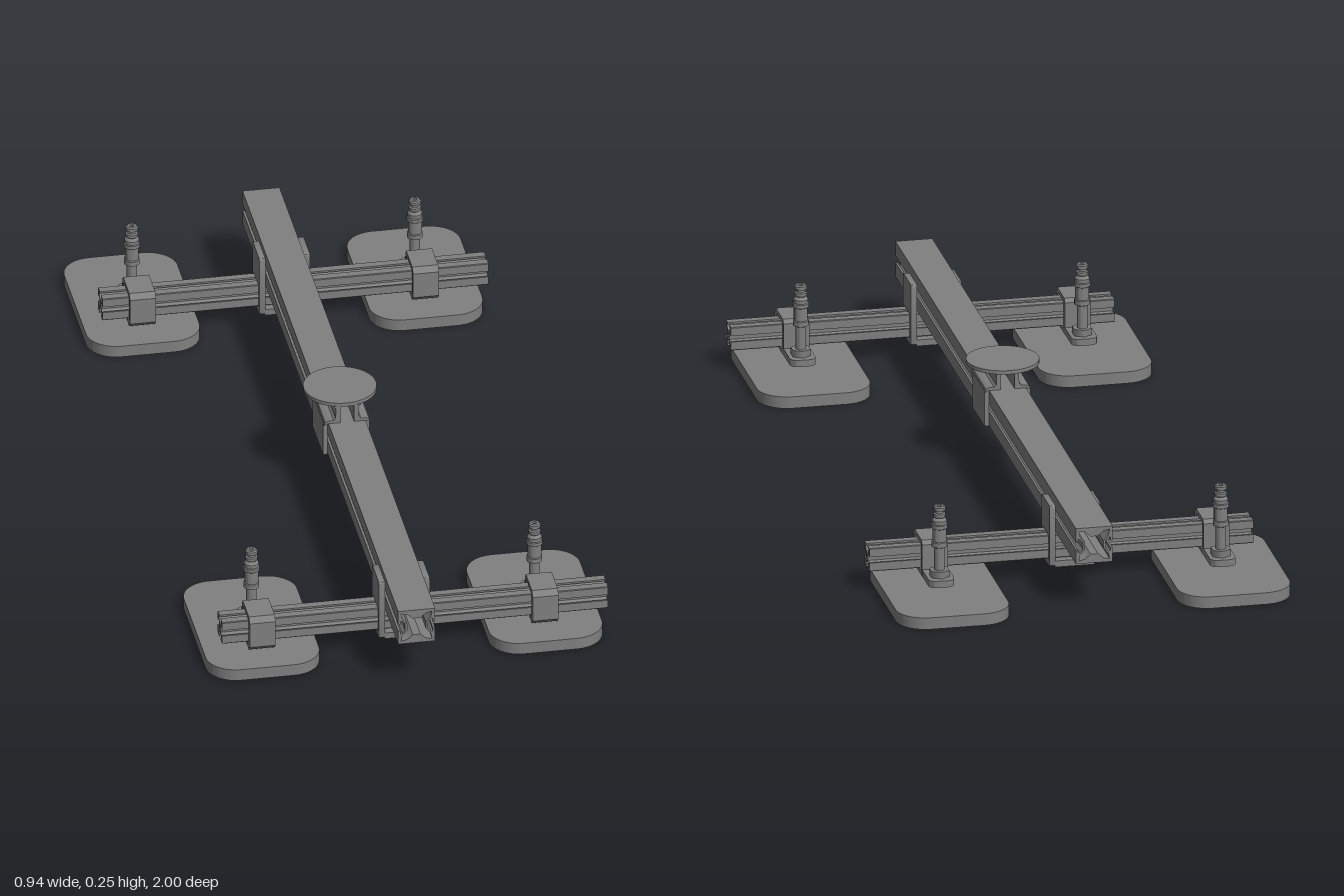
import * as THREE from 'three';
import { toCreasedNormals } from 'three/addons/utils/BufferGeometryUtils.js';

const grey = new THREE.MeshStandardMaterial({ color: 0x808080 });
const CX = -0.01; // centre line of the main beam
const BAR_Y = 0.078;
const STEM_OFFSET = 0.092; // from cross bar back to the valve stem

function add(parent, name, geometry, x = 0, y = 0, z = 0) {
  const mesh = new THREE.Mesh(geometry, grey);
  mesh.name = name;
  mesh.position.set(x, y, z);
  parent.add(mesh);
  return mesh;
}

const polygon = (pts) => new THREE.Shape(pts.map(([x, y]) => new THREE.Vector2(x, y)));

// Repeats points over four quarter turns, scaled by h
function fourfold(pts, h) {
  const out = [];
  for (let k = 0; k < 4; k++) {
    for (let [x, y] of pts) {
      for (let i = 0; i < k; i++) [x, y] = [-y, x];
      out.push([x * h, y * h]);
    }
  }
  return out;
}

function roundedRect(w, h, r, Type = THREE.Shape) {
  const s = new Type(), x = w / 2, y = h / 2;
  s.absarc(x - r, y - r, r, 0, Math.PI / 2);
  s.absarc(-x + r, y - r, r, Math.PI / 2, Math.PI);
  s.absarc(-x + r, -y + r, r, Math.PI, 1.5 * Math.PI);
  s.absarc(x - r, -y + r, r, 1.5 * Math.PI, 2 * Math.PI);
  s.closePath();
  return s;
}

// Extrusion centred on its own depth
function extrude(shape, depth) {
  const g = new THREE.ExtrudeGeometry(shape, { depth, bevelEnabled: false, curveSegments: 8 });
  g.translate(0, 0, -depth / 2);
  return toCreasedNormals(g, 0.6);
}

// Cross bar section: a slot on each of the four sides
function barProfile(h) {
  const shape = polygon(fourfold([[0.94, 1], [0.26, 1], [0.26, 0.84], [0.56, 0.84], [0.56, 0.7], [0.24, 0.38],
    [-0.24, 0.38], [-0.56, 0.7], [-0.56, 0.84], [-0.26, 0.84], [-0.26, 1], [-0.94, 1]], h));
  const bore = new THREE.Path();
  bore.absarc(0, 0, h * 0.16, 0, Math.PI * 2);
  shape.holes.push(bore);
  return shape;
}

// Beam section: slots left and right, X-shaped hollow inside
function beamProfile(h) {
  const side = [[1, -1], [1, -0.2], [0.88, -0.2], [0.88, -0.38], [0.78, -0.38], [0.62, -0.2],
    [0.62, 0.2], [0.78, 0.38], [0.88, 0.38], [0.88, 0.2], [1, 0.2], [1, 1]];
  const outline = [...side, ...side.map(([x, y]) => [-x, -y])].map(([x, y]) => [x * h, y * h]);
  const shape = polygon(outline);
  shape.holes.push(polygon(fourfold([[0.5, 0.2], [0.76, 0.5], [0.84, 0.84], [0.5, 0.76], [0.2, 0.5]], h)));
  return shape;
}

// Flat ring outline with a rounded rectangular opening
function frame(w, h, r, t) {
  const s = roundedRect(w, h, r);
  s.holes.push(roundedRect(w - 2 * t, h - 2 * t, Math.max(r - t, 0.004), THREE.Path));
  return s;
}

function createFoot() {
  const foot = new THREE.Group();
  foot.name = 'suctionFoot';
  const flat = (shape, depth) => extrude(shape, depth).rotateX(Math.PI / 2);

  // Pad: slab, outer lip and tread rings below
  add(foot, 'padPlate', flat(roundedRect(0.263, 0.41, 0.07), 0.018), 0, 0.019, 0);
  add(foot, 'padLip', flat(frame(0.263, 0.41, 0.07, 0.014), 0.01), 0, 0.005, 0);
  for (let i = 0; i < 3; i++) {
    const inset = 0.05 + i * 0.04;
    add(foot, 'treadRing', flat(frame(0.263 - inset, 0.41 - inset, 0.07 - i * 0.012, 0.009), 0.006), 0, 0.007, 0);
  }
  for (const z of [-0.06, 0.06]) {
    add(foot, 'treadLoop', flat(frame(0.085, 0.1, 0.04, 0.01), 0.006), 0, 0.007, z);
  }

  // Nut and stepped valve stem
  add(foot, 'nut', new THREE.CylinderGeometry(0.024, 0.024, 0.016, 6).toNonIndexed(), 0, 0.06, 0);
  const stem = [[0, 0.05], [0.012, 0.05], [0.012, 0.122], [0.018, 0.125], [0.018, 0.136], [0.016, 0.138],
    [0.016, 0.168], [0.019, 0.17], [0.019, 0.178], [0.017, 0.18], [0.017, 0.188], [0.012, 0.195],
    [0.014, 0.198], [0.014, 0.204], [0.01, 0.206], [0.01, 0.211], [0.014, 0.213], [0.014, 0.22],
    [0.011, 0.223], [0.005, 0.223], [0.005, 0.212], [0, 0.212]];
  const lathe = new THREE.LatheGeometry(stem.map(([r, y]) => new THREE.Vector2(r, y)), 20);
  add(foot, 'valveStem', toCreasedNormals(lathe, 0.5));

  // Clamp around the cross bar, with a rounded tab carrying the stem
  const ring = polygon([[-0.038, -0.043], [0.046, -0.043], [0.046, 0.034], [0.038, 0.043],
    [-0.038, 0.043], [-0.05, 0.031], [-0.05, -0.031]]);
  ring.holes.push(roundedRect(0.066, 0.066, 0.006, THREE.Path));
  add(foot, 'barClamp', extrude(ring, 0.06).rotateY(Math.PI / 2), 0, BAR_Y, STEM_OFFSET);
  add(foot, 'clampTab', flat(roundedRect(0.06, 0.1, 0.018), 0.016), 0, 0.044, 0.013);
  return foot;
}

// U-shaped hanger holding a cross bar under the beam
function createHanger() {
  const hanger = new THREE.Group();
  hanger.name = 'barHanger';
  for (const s of [-1, 1]) {
    const plate = roundedRect(0.086, 0.148, 0.006);
    const hole = roundedRect(0.06, 0.06, 0.003, THREE.Path);
    plate.holes.push(new THREE.Path(hole.getPoints(4).map((p) => p.add(new THREE.Vector2(0, -0.0305)))));
    add(hanger, 'hangerSide', extrude(plate, 0.014).rotateY(Math.PI / 2), s * 0.052, 0.1085, 0);
  }
  add(hanger, 'hangerBase', new THREE.BoxGeometry(0.092, 0.015, 0.086), 0, 0.0405, 0);
  return hanger;
}

export function createModel() {
  const model = new THREE.Group();
  model.name = 'roofCarrier';

  // Main beam
  add(model, 'mainBeam', extrude(beamProfile(0.043), 1.945), CX, 0.155, 0.0275);

  // Cross bars with hangers and feet
  for (const z of [-0.702, 0.793]) {
    add(model, 'crossBar', extrude(barProfile(0.028), 0.896).rotateY(Math.PI / 2), 0.02, BAR_Y, z);
    const hanger = createHanger();
    hanger.position.set(CX + 0.002, 0, z);
    model.add(hanger);
    for (const x of [-0.338, 0.319]) {
      const foot = createFoot();
      foot.position.set(x, 0, z - STEM_OFFSET);
      model.add(foot);
    }
  }

  // Central saddle: mirrored bent plates and narrower cheeks under a round table
  const bent = [[0.016, 0.243], [0.016, 0.199], [0.043, 0.199], [0.054, 0.194], [0.051, 0.202],
    [0.044, 0.206], [0.032, 0.206], [0.027, 0.211], [0.026, 0.236], [0.032, 0.243]];
  for (const s of [-1, 1]) {
    add(model, 'saddlePlate', extrude(polygon(bent.map(([x, y]) => [s * x, y])), 0.146), CX, 0, 0.06);
    add(model, 'saddleCheek', new THREE.BoxGeometry(0.011, 0.086, 0.13), CX + s * 0.0485, 0.155, 0.056);
  }
  add(model, 'roundTable', new THREE.CylinderGeometry(0.084, 0.084, 0.009, 48), CX - 0.002, 0.2465, 0.052);
  return model;
}
